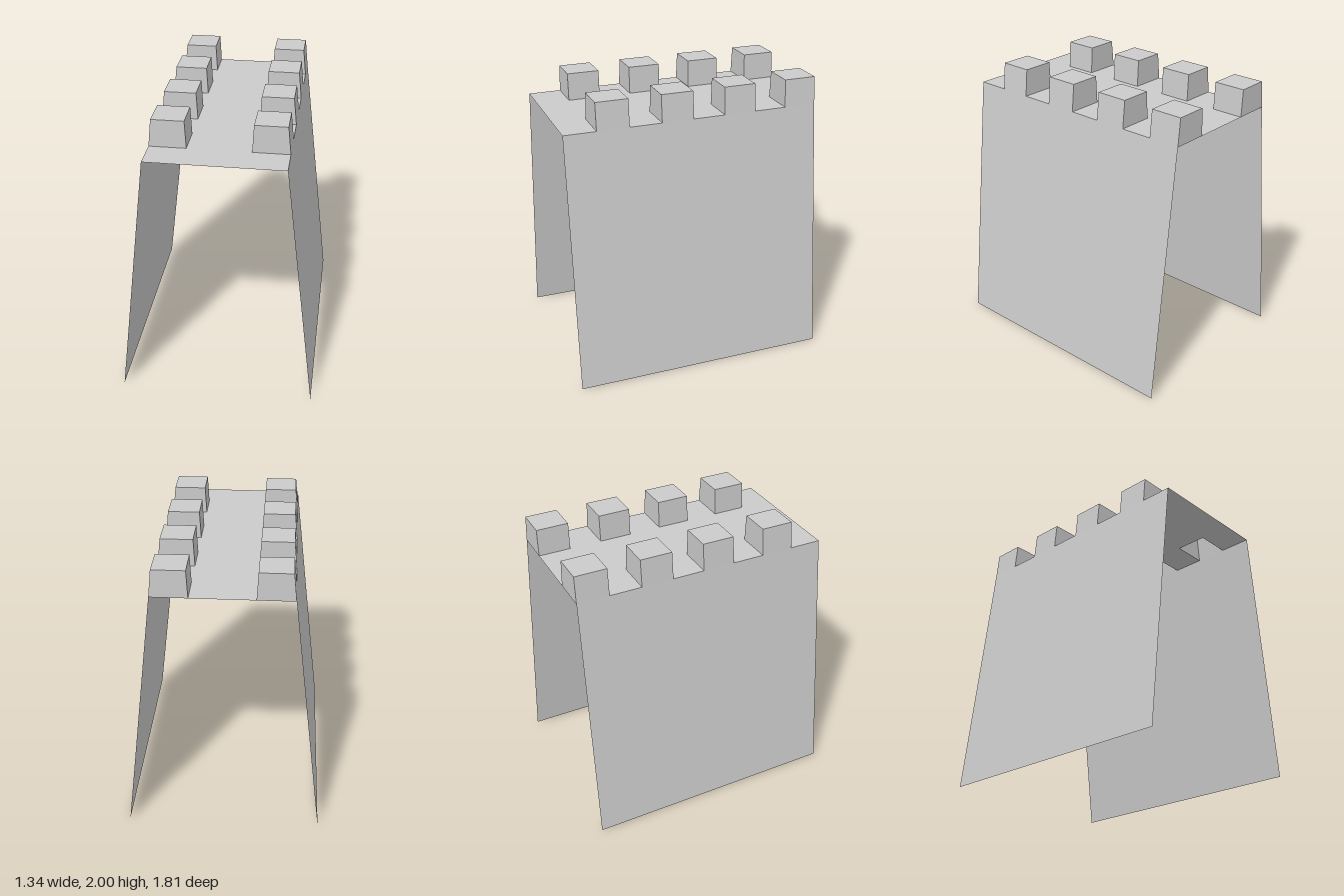
import * as THREE from 'three';

const HALF_Z = 0.905, DECK_Y = 1.81, TOP_Y = 2;
const STEP = (2 * HALF_Z) / 8;      // length of a merlon and of a gap
const FOOT_X = 0.672;               // wall foot
const DECK_X = 0.461;               // wall at deck height
const INNER_X = 0.213;              // inner foot of a merlon
const TOP_OUTER_X = 0.442, TOP_INNER_X = 0.223;

const material = new THREE.MeshStandardMaterial({
  color: 0xcccccc, flatShading: true, side: THREE.DoubleSide,
});

function addMesh(parent, name, geometry) {
  geometry.computeVertexNormals();
  const mesh = new THREE.Mesh(geometry, material);
  mesh.name = name;
  parent.add(mesh);
}

// Sheet wall leaning inward towards the deck
function wallGeometry(side) {
  const g = new THREE.PlaneGeometry(2 * HALF_Z, DECK_Y);
  g.rotateY(side * Math.PI / 2).translate(0, DECK_Y / 2, 0);
  const p = g.attributes.position;
  for (let i = 0; i < p.count; i++) {
    p.setX(i, side * (p.getY(i) > DECK_Y / 2 ? DECK_X : FOOT_X));
  }
  return g;
}

// Tapered block without a bottom
function merlonGeometry(side, z) {
  const g = new THREE.BoxGeometry(1, TOP_Y - DECK_Y, STEP);
  g.setIndex([...g.index.array].filter((_, i) => i < 18 || i >= 24));
  g.clearGroups();
  const p = g.attributes.position;
  for (let i = 0; i < p.count; i++) {
    const top = p.getY(i) > 0, outer = p.getX(i) * side > 0;
    p.setX(i, side * (outer ? (top ? TOP_OUTER_X : DECK_X) : (top ? TOP_INNER_X : INNER_X)));
  }
  return g.translate(0, (TOP_Y + DECK_Y) / 2, z);
}

// Deck sheet, notched open under every merlon
function deckGeometry() {
  const edge = [];
  for (let i = 0; i < 8; i++) {
    const x = i % 2 ? DECK_X : INNER_X;
    edge.push([x, HALF_Z - i * STEP], [x, HALF_Z - (i + 1) * STEP]);
  }
  const mirrored = edge.map(([x, y]) => [-x, y]).reverse();
  const outline = [...edge, ...mirrored].map(([x, y]) => new THREE.Vector2(x, y));
  const g = new THREE.ShapeGeometry(new THREE.Shape(outline));
  return g.rotateX(-Math.PI / 2).translate(0, DECK_Y, 0);
}

export function createModel() {
  const model = new THREE.Group();
  model.name = 'battlementWall';
  addMesh(model, 'deck', deckGeometry());
  for (const side of [1, -1]) {
    const label = side > 0 ? 'left' : 'right';
    addMesh(model, label + 'Wall', wallGeometry(side));
    const row = new THREE.Group();
    row.name = label + 'Merlons';
    for (let i = 0; i < 4; i++) {
      addMesh(row, 'merlon', merlonGeometry(side, -HALF_Z + (2 * i + 0.5) * STEP));
    }
    model.add(row);
  }
  return model;
}
